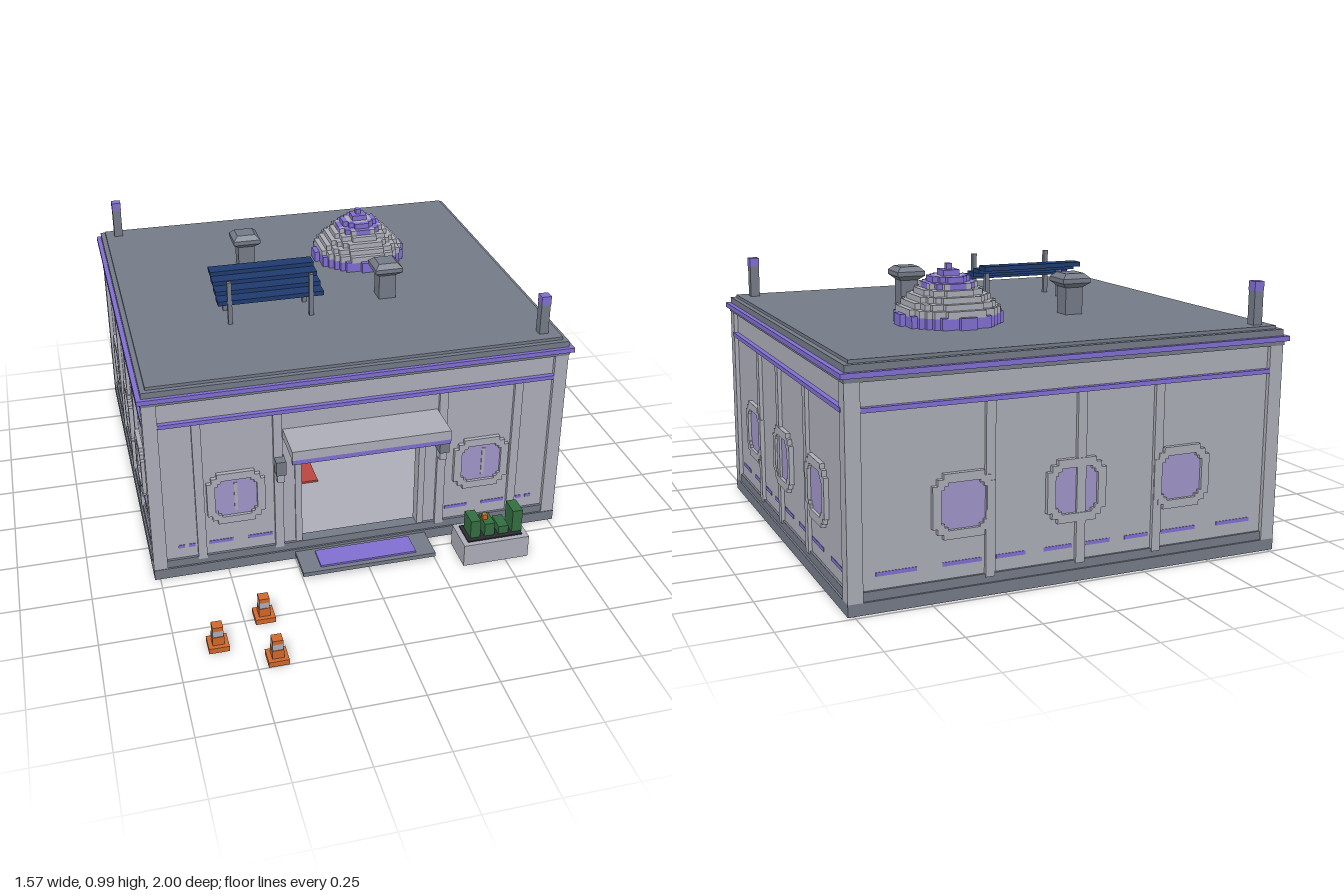
import * as THREE from 'three';
import { mergeGeometries } from 'three/addons/utils/BufferGeometryUtils.js';

const mat = (name, color) => Object.assign(new THREE.MeshStandardMaterial({ color }), { name });
const M = {
  wall: mat('light grey', 0xabadb7), dark: mat('slate grey', 0x747a87),
  purple: mat('purple', 0x806ed0), glass: mat('lilac glass', 0x9f95c8),
  blue: mat('navy blue', 0x1e3b6e), orange: mat('orange', 0xcf682c),
  green: mat('green', 0x336d40), red: mat('red', 0xb8463f),
  black: mat('near black', 0x2b2b31),
};

// Box given by its minimum and maximum on each axis
function box(parent, name, m, x0, x1, y0, y1, z0, z1) {
  const mesh = new THREE.Mesh(new THREE.BoxGeometry(x1 - x0, y1 - y0, z1 - z0), m);
  mesh.position.set((x0 + x1) / 2, (y0 + y1) / 2, (z0 + z1) / 2);
  mesh.name = name;
  parent.add(mesh);
}

function group(parent, name, x = 0, y = 0, z = 0, ry = 0) {
  const g = new THREE.Group();
  g.name = name;
  g.position.set(x, y, z);
  g.rotation.y = ry;
  parent.add(g);
  return g;
}

// Square outline with stepped corners
function steppedPoints(a, m, b) {
  const quarter = [[a, -b], [a, b], [m, b], [m, m], [b, m]];
  const pts = [];
  for (let k = 0; k < 4; k++) {
    const c = Math.round(Math.cos(k * Math.PI / 2)), s = Math.round(Math.sin(k * Math.PI / 2));
    for (const [x, y] of quarter) pts.push(new THREE.Vector2(x * c - y * s, x * s + y * c));
  }
  return pts;
}
const frameShape = new THREE.Shape(steppedPoints(0.105, 0.088, 0.068));
frameShape.holes.push(new THREE.Path(steppedPoints(0.076, 0.066, 0.054)));
const frameGeo = new THREE.ExtrudeGeometry(frameShape, { depth: 0.016, bevelEnabled: false });
const paneGeo = new THREE.ExtrudeGeometry(new THREE.Shape(steppedPoints(0.08, 0.068, 0.056)),
  { depth: 0.004, bevelEnabled: false });

// One wall: local x runs along it, local z points outward
function wall(parent, name, half, windows, posts, x, z, ry, door) {
  const g = group(parent, name, x, 0, z, ry);
  if (door) {
    box(g, 'wallPanel', M.wall, -half, -door, 0.05, 0.73, -0.03, 0);
    box(g, 'wallPanel', M.wall, door, half, 0.05, 0.73, -0.03, 0);
    box(g, 'doorLintel', M.wall, -door, door, 0.465, 0.73, -0.03, 0);
  } else box(g, 'wallPanel', M.wall, -half, half, 0.05, 0.73, -0.03, 0);
  for (const u of windows) {
    const w = group(g, 'window', u, 0.307, 0);
    for (const [geo, m, dz, part] of [[frameGeo, M.wall, 0, 'windowFrame'], [paneGeo, M.glass, 0.001, 'windowPane'],
      [paneGeo, M.glass, -0.035, 'innerPane']]) {
      const mesh = new THREE.Mesh(geo, m);
      mesh.name = part;
      mesh.position.z = dz;
      w.add(mesh);
    }
  }
  for (const u of posts) box(g, 'wallPost', M.wall, u - 0.016, u + 0.016, 0.06, 0.63, -0.04, 0.013);
  box(g, 'upperTrim', M.purple, -half + 0.02, half - 0.02, 0.627, 0.642, 0, 0.018);
  // Broken stripe near the base, two dashes per bay
  const ends = [-half + 0.04, ...posts, half - 0.04];
  for (let i = 0; i + 1 < ends.length; i++) {
    if (door && ends[i] < 0 && ends[i + 1] > 0) continue;
    const a = ends[i] + 0.025, b = ends[i + 1] - 0.025, d = (b - a) * 0.38;
    box(g, 'lowerStripe', M.purple, a, a + d, 0.112, 0.125, 0, 0.002);
    box(g, 'lowerStripe', M.purple, b - d, b, 0.112, 0.125, 0, 0.002);
  }
}

// Stepped dome made of square columns: purple crown, grey slope, purple foot
function dome(parent) {
  const g = group(parent, 'roofDome', 0.23, 0.785, -0.47), s = 0.0195;
  const parts = { wall: [], purple: [] };
  const column = (key, i, j, y0, y1) =>
    parts[key].push(new THREE.BoxGeometry(s, y1 - y0, s).translate(i * s, (y0 + y1) / 2, j * s));
  for (let i = -9; i <= 9; i++) for (let j = -9; j <= 9; j++) {
    const r = Math.hypot(i, j) * s;
    if (r > 0.178) continue;
    const h = Math.max(0.02, Math.round(0.2 * (1 - r / 0.21) ** 0.8 / 0.02) * 0.02);
    if (r < 0.085) column(r > 0.035 && r < 0.05 ? 'wall' : 'purple', i, j, 0, h);
    else if (r < 0.15) column('wall', i, j, 0, h);
    else if (r > 0.17) column('purple', i, j, 0, h);
    else {
      column('purple', i, j, 0, h * 0.6);
      column('wall', i, j, h * 0.6, h);
    }
  }
  for (const key in parts) {
    const mesh = new THREE.Mesh(mergeGeometries(parts[key]), M[key]);
    mesh.name = key === 'wall' ? 'domeBlocks' : 'domeAccents';
    g.add(mesh);
  }
}

// Square vent: neck, flared collar and tapered cap
function vent(parent, x, z) {
  const g = group(parent, 'roofVent', x, 0, z, Math.PI / 4);
  for (const [r0, r1, y0, y1] of [[0.033, 0.033, 0.785, 0.88], [0.033, 0.053, 0.88, 0.897],
    [0.053, 0.053, 0.897, 0.913], [0.053, 0.035, 0.913, 0.93]]) {
    const geo = new THREE.CylinderGeometry(r1 * Math.SQRT2, r0 * Math.SQRT2, y1 - y0, 4).toNonIndexed();
    geo.computeVertexNormals();
    const mesh = new THREE.Mesh(geo, M.dark);
    mesh.name = 'ventSection';
    mesh.position.y = (y0 + y1) / 2;
    g.add(mesh);
  }
}

export function createModel() {
  const root = new THREE.Group();
  root.name = 'outpostBuilding';

  // Base ring, floor and corner posts
  const shell = group(root, 'shell');
  for (const [y0, y1, e] of [[0, 0.04, 0], [0.04, 0.07, 0.007]]) {
    box(shell, 'basePlinth', M.dark, -0.77 + e, 0.77 - e, y0, y1, 0.395, 0.447 - e);
    box(shell, 'basePlinth', M.dark, -0.77 + e, 0.77 - e, y0, y1, -0.985 + e, -0.935);
    for (const s of [-1, 1]) {
      const a = s * 0.72, b = s * (0.77 - e);
      box(shell, 'basePlinth', M.dark, Math.min(a, b), Math.max(a, b), y0, y1, -0.935, 0.395);
    }
  }
  box(shell, 'floor', M.wall, -0.73, 0.73, 0.045, 0.06, -0.94, 0.4);
  for (const x of [-0.745, 0.745]) for (const z of [0.42, -0.96])
    box(shell, 'cornerPost', M.wall, x - 0.025, x + 0.025, 0.04, 0.725, z - 0.025, z + 0.025);

  // Four walls
  const sideWin = [-0.404, -0.01, 0.39], sidePost = [-0.32, -0.055, 0.28];
  const flip = (a) => a.map((v) => -v).reverse();
  wall(root, 'frontWall', 0.74, [-0.46, 0.46], [-0.59, -0.305, 0.305, 0.59], 0, 0.43, 0, 0.22);
  wall(root, 'backWall', 0.74, [-0.39, 0, 0.39], [-0.3, 0.017, 0.3], 0, -0.97, Math.PI);
  wall(root, 'rightWall', 0.7, sideWin, sidePost, 0.755, -0.27, Math.PI / 2);
  wall(root, 'leftWall', 0.7, flip(sideWin), flip(sidePost), -0.755, -0.27, -Math.PI / 2);
  for (const x of [-0.46, 0.47])
    box(shell, 'windowMullion', M.wall, x - 0.006, x + 0.006, 0.25, 0.365, 0.43, 0.438);

  // Roof with purple cornice
  const roof = group(root, 'roof');
  box(roof, 'roofSoffit', M.dark, -0.772, 0.772, 0.72, 0.735, -0.988, 0.448);
  box(roof, 'roofCornice', M.purple, -0.785, 0.785, 0.735, 0.752, -1, 0.46);
  box(roof, 'roofSlab', M.dark, -0.768, 0.768, 0.752, 0.774, -0.985, 0.445);
  box(roof, 'roofDeck', M.dark, -0.75, 0.75, 0.774, 0.785, -0.967, 0.427);
  for (const [x, z] of [[-0.698, -0.92], [0.692, 0.37]]) {
    box(roof, 'beaconPost', M.dark, x - 0.017, x + 0.017, 0.785, 0.9, z - 0.017, z + 0.017);
    box(roof, 'beaconCap', M.purple, x - 0.018, x + 0.018, 0.9, 0.932, z - 0.018, z + 0.018);
  }
  vent(roof, -0.235, -0.47);
  vent(roof, 0.23, -0.07);
  dome(roof);

  // Solar panel of stepped slats on legs
  const solar = group(root, 'solarPanel');
  for (let i = 0; i < 4; i++) {
    const z = 0.03 - i * 0.053, y = 0.86 + i * 0.016;
    box(solar, 'solarSlat', M.blue, -0.43, -0.035, y, y + 0.017, z - 0.055, z);
  }
  for (const x of [-0.387, -0.083]) {
    box(solar, 'frontLeg', M.dark, x - 0.008, x + 0.008, 0.785, 0.95, 0.018, 0.034);
    box(solar, 'rearLeg', M.dark, x - 0.008, x + 0.008, 0.785, 0.9, -0.1, -0.084);
  }

  // Entrance: canopy, jambs, lamps, step and mat
  const entry = group(root, 'entrance');
  box(entry, 'canopy', M.wall, -0.285, 0.285, 0.52, 0.555, 0.425, 0.586);
  box(entry, 'canopyLip', M.purple, -0.285, 0.285, 0.503, 0.52, 0.574, 0.586);
  for (const s of [-1, 1]) {
    const x = s * 0.302;
    box(entry, 'doorJamb', M.wall, s * 0.232 - 0.012, s * 0.232 + 0.012, 0.07, 0.48, 0.39, 0.437);
    box(entry, 'lampHousing', M.dark, x - 0.018, x + 0.018, 0.395, 0.45, 0.43, 0.48);
    box(entry, 'lampBracket', M.wall, x - 0.013, x + 0.013, 0.36, 0.395, 0.43, 0.47);
  }
  box(entry, 'step', M.dark, -0.25, 0.25, 0.014, 0.03, 0.44, 0.58);
  box(entry, 'doorMat', M.purple, -0.18, 0.18, 0.012, 0.037, 0.465, 0.56);

  // Planter with block plants
  const planter = group(root, 'planter');
  box(planter, 'planterBox', M.wall, 0.338, 0.588, 0, 0.088, 0.503, 0.643);
  box(planter, 'soil', M.black, 0.358, 0.568, 0.088, 0.093, 0.522, 0.624);
  for (const [x, h] of [[0.391, 0.165], [0.446, 0.145], [0.5, 0.125], [0.552, 0.184]])
    box(planter, 'plant', M.green, x - 0.019, x + 0.019, 0.09, h, 0.535, 0.607);
  box(planter, 'flower', M.orange, 0.428, 0.446, 0.145, 0.165, 0.562, 0.578);

  // Square traffic cones
  for (const [x, z] of [[-0.43, 0.745], [-0.61, 0.852], [-0.43, 0.965]]) {
    const cone = group(root, 'trafficCone', x, 0, z);
    for (const [m, r, y0, y1] of [[M.orange, 0.035, 0, 0.02], [M.orange, 0.02, 0.02, 0.053],
      [M.wall, 0.018, 0.053, 0.076], [M.orange, 0.018, 0.076, 0.092]])
      box(cone, 'coneBlock', m, -r, r, y0, y1, -r, r);
  }

  // Furnishings: name, material, centre x and z, size x and z, bottom, top
  const inside = group(root, 'interior');
  for (const [name, m, x, z, w, d, y0, y1] of [
    ['greenRug', M.green, 0.57, 0.03, 0.28, 0.25, 0.038, 0.068],
    ['blueRug', M.blue, 0.08, -0.4, 0.39, 0.29, 0.038, 0.068],
    ['redRug', M.red, -0.18, -0.05, 0.22, 0.22, 0.038, 0.068],
    ['darkBench', M.black, -0.54, -0.3, 0.13, 0.22, 0.02, 0.2],
    ['darkBench', M.black, -0.54, -0.58, 0.13, 0.22, 0.02, 0.2],
    ['couch', M.blue, -0.43, -0.88, 0.4, 0.1, 0.01, 0.2],
    ['cabinet', M.dark, 0.46, -0.87, 0.3, 0.08, 0.03, 0.25],
    ['cabinet', M.dark, 0.27, -0.82, 0.06, 0.18, 0.03, 0.25],
    ['locker', M.purple, 0.67, -0.36, 0.08, 0.28, 0.01, 0.25],
    ['skirtingLight', M.purple, 0.35, -0.927, 0.7, 0.016, 0.03, 0.06],
    ['sideLight', M.purple, 0.205, -0.75, 0.016, 0.02, 0.06, 0.145],
    ['desk', M.wall, -0.155, -0.7, 0.13, 0.12, 0.183, 0.2],
    ['deskLeg', M.wall, -0.155, -0.7, 0.05, 0.05, 0.06, 0.183],
    ['deskStripe', M.orange, -0.165, -0.7, 0.1, 0.1, 0.2, 0.212],
    ['console', M.wall, -0.165, -0.7, 0.1, 0.08, 0.212, 0.3],
    ['consoleLight', M.purple, -0.148, -0.7, 0.035, 0.035, 0.3, 0.34],
  ]) box(inside, name, m, x - w / 2, x + w / 2, y0, y1, z - d / 2, z + d / 2);

  return root;
}
